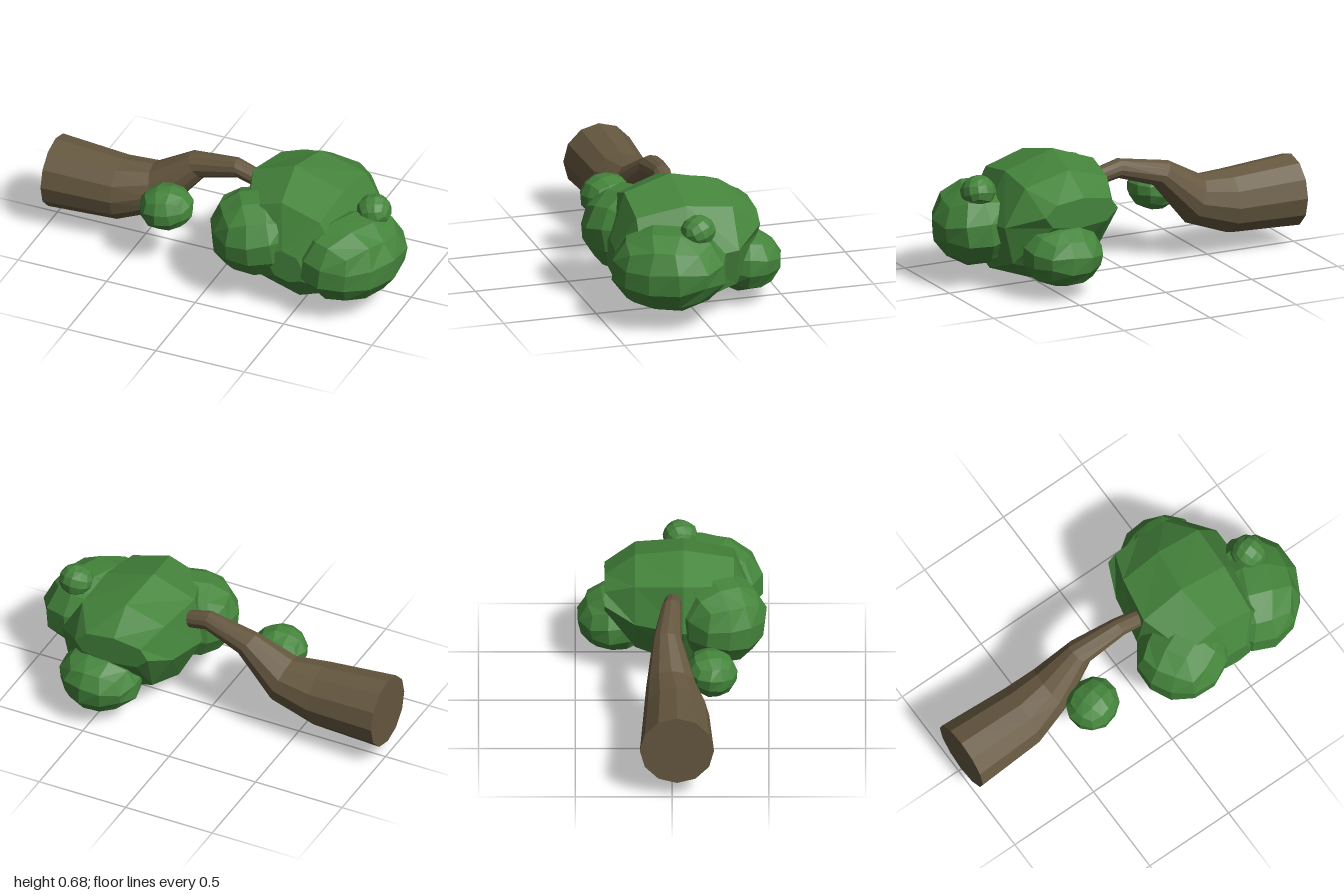
import * as THREE from 'three';
import { mergeVertices } from 'three/addons/utils/BufferGeometryUtils.js';

const bark = new THREE.MeshStandardMaterial({ color: 0x665840, flatShading: true });
const leaf = new THREE.MeshStandardMaterial({ color: 0x45853c, flatShading: true });

// Small seeded generator for the uneven leaf clumps
function seeded(seed) {
  let s = seed * 7919 + 17;
  return () => (s = (s * 16807) % 2147483647) / 2147483647 - 0.5;
}

// Faceted clump: a cube rounded into a ball, made uneven, turned, and fitted between two corners
function clump(name, min, max, turn, seed, long = 1) {
  let geo = new THREE.BoxGeometry(2, 2, 2, 3, 3, 3);
  geo.deleteAttribute('normal');
  geo.deleteAttribute('uv');
  geo = mergeVertices(geo);
  const pos = geo.attributes.position;
  const rand = seeded(seed);
  const v = new THREE.Vector3();
  const warp = (t) => Math.tan(t * Math.PI / 4);
  for (let i = 0; i < pos.count; i++) {
    v.fromBufferAttribute(pos, i);
    v.set(warp(v.x), warp(v.y), warp(v.z)).normalize();
    pos.setXYZ(i, v.x + rand() * 0.06, v.y + rand() * 0.06, v.z + rand() * 0.06);
  }
  const lo = new THREE.Vector3(...min);
  const size = new THREE.Vector3(...max).sub(lo);
  // Stretch before turning so that slanted clumps stay slanted
  geo.scale(size.x, size.y, size.z * long);
  geo.rotateX(turn[0]).rotateY(turn[1]).rotateZ(turn[2]);
  geo.computeBoundingBox();
  const box = geo.boundingBox;
  const span = box.getSize(new THREE.Vector3());
  geo.translate(-box.min.x, -box.min.y, -box.min.z);
  geo.scale(size.x / span.x, size.y / span.y, size.z / span.z);
  geo.translate(lo.x, lo.y, lo.z);
  geo.computeVertexNormals();
  const mesh = new THREE.Mesh(geo, leaf);
  mesh.name = name;
  return mesh;
}

// Closed body through a row of rings; place() puts a point of the unit circle on its ring
function sweep(name, material, sides, rings, place) {
  const steps = rings.length - 1;
  const geo = new THREE.CylinderGeometry(1, 1, 1, sides, steps);
  const pos = geo.attributes.position;
  for (let i = 0; i < pos.count; i++) {
    const ring = rings[Math.round((0.5 - pos.getY(i)) * steps)];
    pos.setXYZ(i, ...place(pos.getX(i), pos.getZ(i), ring));
  }
  geo.computeVertexNormals();
  const mesh = new THREE.Mesh(geo, material);
  mesh.name = name;
  return mesh;
}

// Tapering bent trunk: rings of x, y, z, radius, tilt from tip to base
function makeTrunk() {
  const rings = [
    [0.13, 0.51, 0.005, 0.046, -0.25],
    [0.02, 0.54, -0.003, 0.052, 0.12],
    [-0.215, 0.488, -0.024, 0.075, 0.62],
    [-0.415, 0.315, -0.002, 0.132, 0.35],
    [-0.62, 0.268, 0.022, 0.17, 0.02],
    [-1, 0.275, 0.025, 0.192, 0],
  ];
  return sweep('trunk', bark, 12, rings, (a, b, [x, y, z, r, tilt]) =>
    [x - a * r * Math.sin(tilt), y + a * r * Math.cos(tilt), z - b * r]);
}

// Big middle clump: rings of z, centre x and y, half width and half height from front to back
function makeMainClump() {
  const rings = [
    [0.41, 0.47, 0.29, 0.1, 0.09],
    [0.32, 0.46, 0.345, 0.27, 0.27],
    [0.06, 0.435, 0.34, 0.345, 0.34],
    [-0.19, 0.455, 0.37, 0.32, 0.265],
    [-0.35, 0.41, 0.445, 0.21, 0.08],
  ];
  // Leans so that the top sits left of the underside
  return sweep('mainClump', leaf, 8, rings, (a, b, [z, x, y, w, h]) =>
    [x + a * w * (1 + 0.1 * b * b) + b * h * 0.19, y - b * h * (1 + 0.12 * a * a), z]);
}

export function createModel() {
  const model = new THREE.Group();
  model.name = 'fallenTree';
  model.add(makeTrunk());

  // Crown
  const crown = new THREE.Group();
  crown.name = 'crown';
  crown.add(
    makeMainClump(),
    clump('frontRightClump', [0, 0.13, 0.03], [0.48, 0.585, 0.49], [0.1, 0.45, 0.1], 8, 1.08),
    clump('frontLeftClump', [0.5, 0.09, -0.11], [1, 0.52, 0.47], [0.05, -0.4, -0.08], 11, 1.1),
    clump('rearClump', [0.28, 0.06, -0.49], [0.71, 0.385, -0.1], [-0.08, 0.1, 0.05], 14),
    clump('topSprig', [0.72, 0.43, -0.048], [0.9, 0.6, 0.137], [0.4, 0.3, 0.2], 17),
  );
  model.add(crown);

  // Separate tuft beside the trunk
  model.add(clump('trunkTuft', [-0.44, 0.22, 0.07], [-0.15, 0.455, 0.338], [0.1, 0.2, 0.1], 20));
  return model;
}
